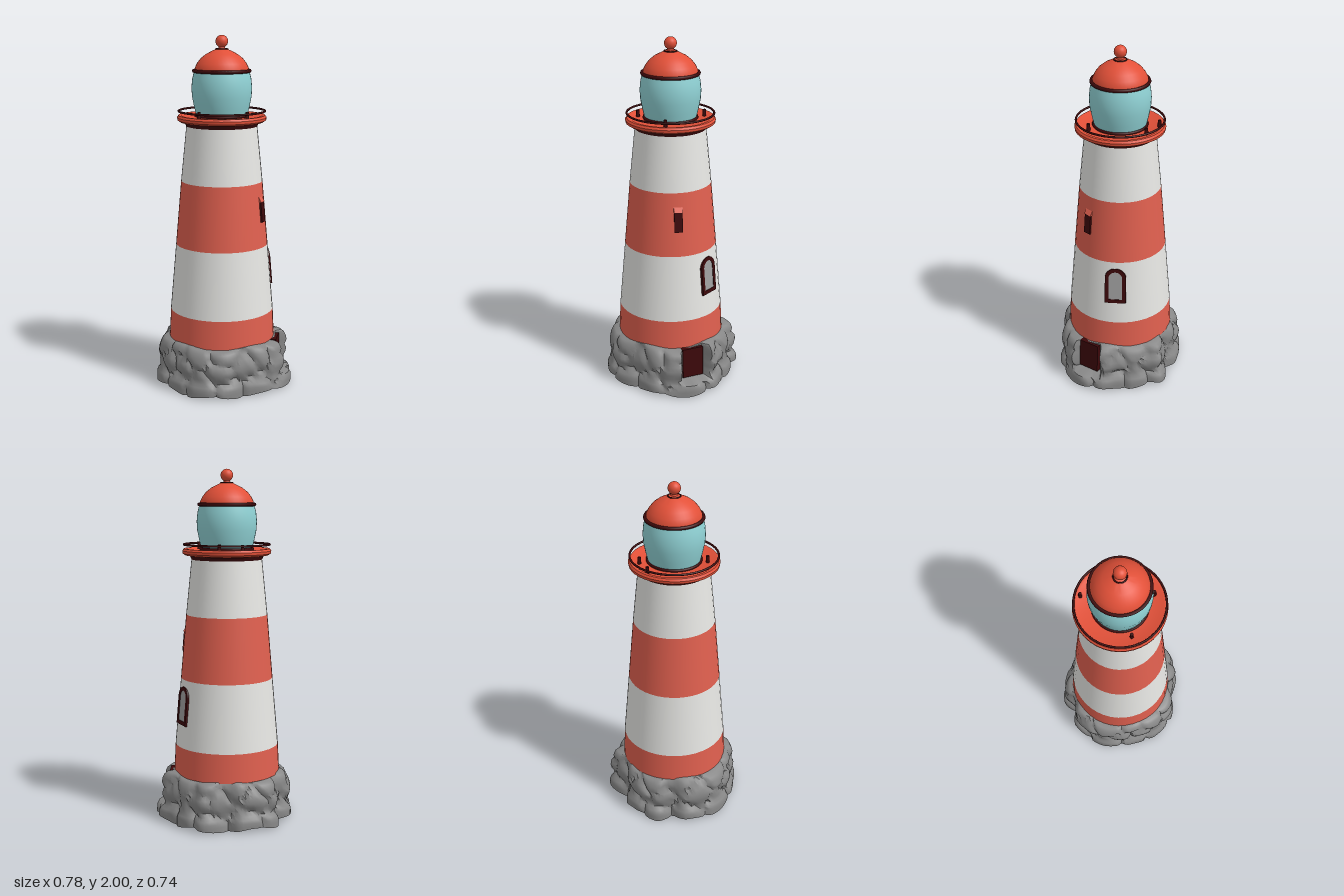
import * as THREE from 'three';
import { mergeVertices, toCreasedNormals } from 'three/addons/utils/BufferGeometryUtils.js';

const mat = (name, color, side = THREE.FrontSide) => {
  const m = new THREE.MeshStandardMaterial({ color, side });
  m.name = name;
  return m;
};

export function createModel() {
  const bandRed = mat('bandRed', 0xe0604f);
  const roofRed = mat('roofRed', 0xe25038);
  const white = mat('white', 0xeaeae7);
  const rockGrey = mat('rockGrey', 0x888888, THREE.DoubleSide);
  const glassBlue = mat('glassBlue', 0x90d2d5);
  const dark = mat('darkMaroon', 0x3c080a);
  const paneGrey = mat('paneGrey', 0xa0a0a0);

  const model = new THREE.Group();
  model.name = 'lighthouse';
  const tower = new THREE.Group();
  tower.name = 'tower';
  tower.position.set(-0.007, 0, -0.008);
  model.add(tower);

  const add = (parent, name, geometry, material, x = 0, y = 0, z = 0) => {
    const mesh = new THREE.Mesh(geometry, material);
    mesh.name = name;
    mesh.position.set(x, y, z);
    parent.add(mesh);
    return mesh;
  };
  const lathe = (pts, seg = 40) =>
    toCreasedNormals(new THREE.LatheGeometry(pts.map(p => new THREE.Vector2(...p)), seg), 0.7);
  const ring = (name, r, tube, y) => {
    const mesh = add(tower, name, new THREE.TorusGeometry(r, tube, 8, 48), dark, 0, y);
    mesh.rotation.x = Math.PI / 2;
    return mesh;
  };

  // Striped tapering tower
  const levels = [[0.27, 0.306], [0.435, 0.298], [0.82, 0.264], [1.185, 0.232], [1.5, 0.2]];
  for (let i = 0; i < 4; i++) {
    const [y0, r0] = levels[i], [y1, r1] = levels[i + 1];
    add(tower, 'band' + (i + 1), new THREE.CylinderGeometry(r1, r0, y1 - y0, 40, 1, true),
      i % 2 ? white : bandRed, 0, (y0 + y1) / 2);
  }
  const floor = add(tower, 'towerFloor', new THREE.CircleGeometry(0.306, 40), bandRed, 0, 0.27);
  floor.rotation.x = Math.PI / 2;

  // Gallery with rail and posts
  add(tower, 'galleryCollar', new THREE.CylinderGeometry(0.212, 0.2, 0.025, 40), dark, 0, 1.508);
  add(tower, 'gallery', lathe([[0.2, 1.515], [0.235, 1.52], [0.25, 1.53], [0.252, 1.545],
    [0.244, 1.557], [0.228, 1.557], [0.215, 1.548], [0.1, 1.55]]), roofRed);
  ring('galleryRail', 0.243, 0.006, 1.58);
  for (const [x, z] of [[0.01, -0.215], [0.12, -0.152], [0.097, 0.163], [-0.158, 0.093]]) {
    add(tower, 'galleryPost', new THREE.CylinderGeometry(0.009, 0.011, 0.04, 8), dark, x, 1.567, z);
  }

  // Lantern room, roof and finial
  add(tower, 'lanternGlass', lathe([[0.142, 1.548], [0.155, 1.6], [0.167, 1.66], [0.17, 1.71],
    [0.165, 1.76], [0.155, 1.8]]), glassBlue);
  ring('lanternFoot', 0.147, 0.008, 1.556);
  ring('roofEdge', 0.156, 0.01, 1.803);
  add(tower, 'roof', lathe([[0.152, 1.803], [0.15, 1.82], [0.138, 1.845], [0.117, 1.872],
    [0.088, 1.895], [0.055, 1.912], [0.035, 1.921], [0.02, 1.926], [0.016, 1.94]]), roofRed);
  ring('finialRing', 0.034, 0.004, 1.922);
  add(tower, 'finial', new THREE.SphereGeometry(0.035, 24, 16), roofRed, 0, 1.965);

  // A holder that faces outward at an angle from +x toward +z, leaning with the wall
  const onWall = (name, angle, r, y, lean = 0.088) => {
    const g = new THREE.Group();
    g.name = name;
    g.position.set(r * Math.cos(angle), y, r * Math.sin(angle));
    g.rotation.order = 'YXZ';
    g.rotation.set(-lean, Math.PI / 2 - angle, 0);
    tower.add(g);
    return g;
  };
  const arch = (w, h, Type = THREE.Shape) => {
    const s = new Type();
    s.moveTo(-w, -h);
    s.lineTo(w, -h);
    s.lineTo(w, h - w);
    s.absarc(0, h - w, w, 0, Math.PI, false);
    s.lineTo(-w, -h);
    return s;
  };

  // Arched window
  const win = onWall('archedWindow', 0, 0.272, 0.673);
  const frame = arch(0.06, 0.109);
  frame.holes.push(arch(0.039, 0.087, THREE.Path));
  add(win, 'windowFrame', new THREE.ExtrudeGeometry(frame, { depth: 0.02, bevelEnabled: false }), dark, 0, 0, -0.01);
  add(win, 'windowPane', new THREE.ShapeGeometry(arch(0.041, 0.089)), paneGrey, 0, 0, 0.007);

  // Narrow slit window with a small sloping hood
  const slit = onWall('slitWindow', 0.71, 0.245, 1.02);
  add(slit, 'slit', new THREE.BoxGeometry(0.046, 0.115, 0.02), dark);
  const hood = new THREE.Shape([[-0.01, 0], [0.014, 0], [-0.01, 0.05]].map(p => new THREE.Vector2(...p)));
  const hoodMesh = add(slit, 'slitHood',
    new THREE.ExtrudeGeometry(hood, { depth: 0.05, bevelEnabled: false }), bandRed, 0.025, 0.057, 0);
  hoodMesh.rotation.y = -Math.PI / 2;

  // Door set into the rock
  const door = onWall('door', 0.49, 0.295, 0.18, 0.05);
  add(door, 'doorPanel', new THREE.BoxGeometry(0.125, 0.175, 0.06), dark, 0, 0, 0.01);

  add(model, 'rockBase', makeRock(), rockGrey);
  return model;
}

// Open-bottomed ring of boulders
function makeRock() {
  const outline = [[0.39, 0.08], [0.36, -0.03], [0.31, -0.2], [0.29, -0.28], [0.13, -0.31],
    [0.07, -0.36], [-0.15, -0.36], [-0.21, -0.28], [-0.3, -0.25], [-0.39, -0.05], [-0.375, 0.07],
    [-0.33, 0.17], [-0.27, 0.27], [-0.14, 0.357], [0.03, 0.34], [0.17, 0.335], [0.26, 0.29], [0.36, 0.18]]
    .map(([x, z]) => [Math.atan2(z, x), Math.hypot(x, z)]).sort((a, b) => a[0] - b[0]);
  const radius = a => {
    const n = outline.length, TAU = Math.PI * 2;
    let i = outline.findIndex(p => p[0] > a);
    if (i < 0) i = n;
    const p = outline[(i + n - 1) % n], q = outline[i % n];
    const t = ((a - p[0] + TAU) % TAU) / ((q[0] - p[0] + TAU) % TAU);
    return p[1] + (q[1] - p[1]) * t * t * (3 - 2 * t);
  };

  // Boulder centres; grooves form midway between neighbours
  let seed = 11;
  const rand = () => (seed = (seed * 16807) % 2147483647) / 2147483647;
  const cells = [];
  for (let row = 0; row < 3; row++) {
    for (let i = 0; i < 12; i++) {
      const a = (i + row * 0.5 + rand() * 0.6) / 12 * Math.PI * 2;
      cells.push([Math.cos(a) * 0.35, 0.03 + row * 0.1 + rand() * 0.04, Math.sin(a) * 0.35]);
    }
  }
  const groove = (x, y, z) => {
    const d = cells.map(c => Math.hypot(c[0] - x, c[1] - y, c[2] - z)).sort((p, q) => p - q);
    return Math.exp(-(d[1] - d[0]) / 0.022);
  };

  const profile = [[1, 0.012], [1, 0.03], [1, 0.05], [0.985, 0.068], [0.955, 0.085], [0.955, 0.11],
    [0.97, 0.135], [0.98, 0.16], [0.975, 0.185], [0.96, 0.21], [0.94, 0.235], [0.91, 0.258],
    [0.87, 0.272], [0.7, 0.276]];
  const geo = new THREE.LatheGeometry(profile.map(p => new THREE.Vector2(...p)), 110);
  const pos = geo.attributes.position;
  for (let i = 0; i < pos.count; i++) {
    const x = pos.getX(i), y = pos.getY(i), z = pos.getZ(i);
    const s = Math.hypot(x, z), a = Math.atan2(z, x);
    let r = s * radius(a) - 0.028 * groove(Math.cos(a) * 0.35, y, Math.sin(a) * 0.35);
    // Recess around the door above its step
    if (Math.abs(a - 0.47) < 0.22 && y > 0.08) r = Math.min(r, 0.305);
    r = s < 0.75 ? 0.285 : Math.max(r, 0.3);
    const lift = y > 0.2 ? 0.008 * Math.sin(a * 5 + 1) : y < 0.02 ? 0.01 * Math.sin(a * 7) - 0.002 : 0;
    pos.setXYZ(i, Math.cos(a) * r, Math.max(0, y + lift), Math.sin(a) * r);
  }
  geo.deleteAttribute('uv');
  geo.deleteAttribute('normal');
  return toCreasedNormals(mergeVertices(geo, 1e-4), 0.9);
}
